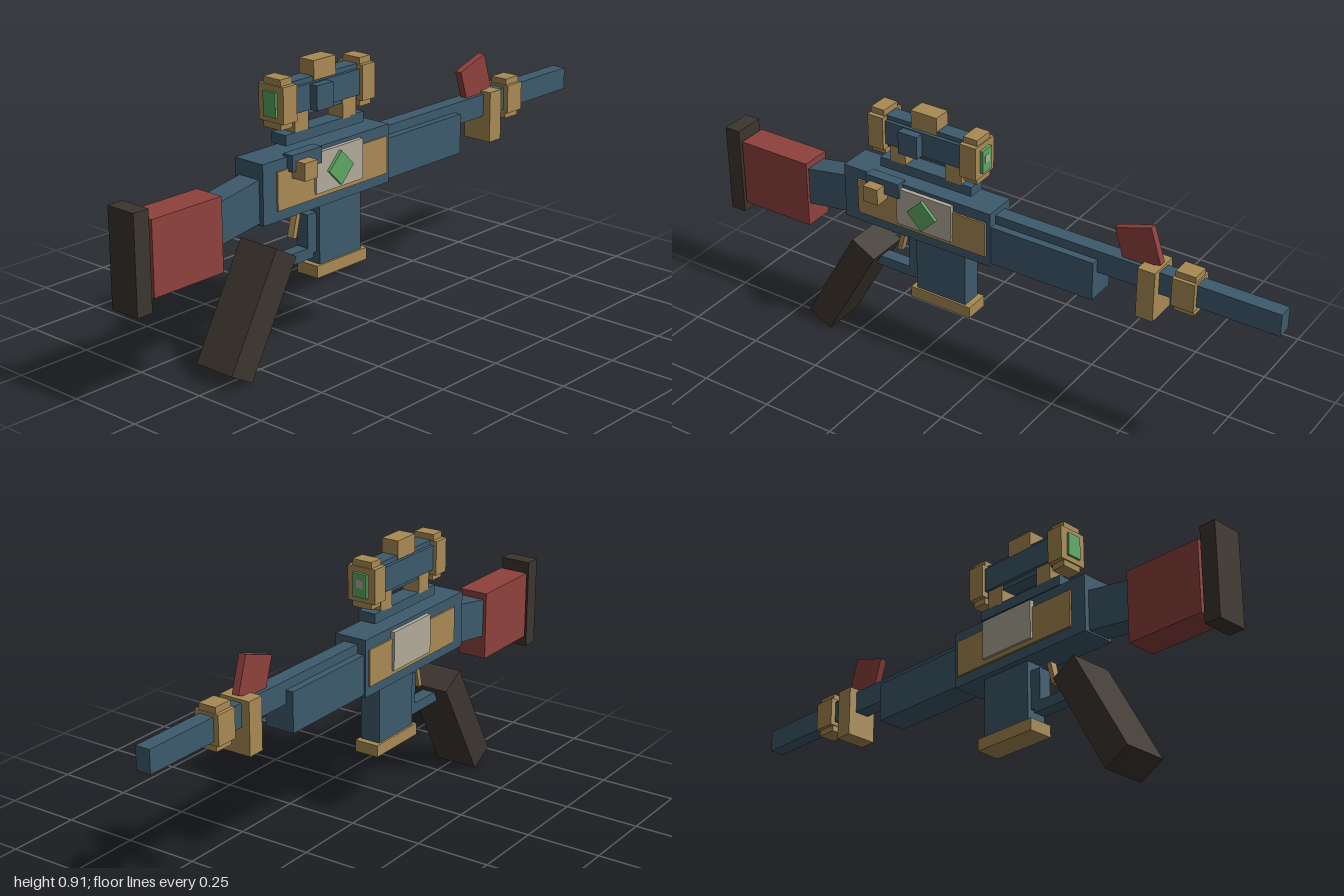
import * as THREE from 'three';

const mat = (name, color) => Object.assign(new THREE.MeshStandardMaterial({ color }), { name });

export function createModel() {
  const model = new THREE.Group();
  model.name = 'scopedRifle';
  const blue = mat('blueSteel', 0x3d5a6c);
  const brass = mat('brass', 0xa88a54);
  const red = mat('redPaint', 0x8e413d);
  const dark = mat('darkGrip', 0x3d352e);
  const green = mat('greenGlass', 0x5ca863);
  const grey = mat('paleMetal', 0xb2ab9b);
  const midZ = -0.02;

  // Box given by its limits on each axis
  function box(name, m, x0, x1, y0, y1, z0, z1) {
    const mesh = new THREE.Mesh(new THREE.BoxGeometry(x1 - x0, y1 - y0, z1 - z0), m);
    mesh.position.set((x0 + x1) / 2, (y0 + y1) / 2, (z0 + z1) / 2);
    mesh.name = name;
    model.add(mesh);
    return mesh;
  }
  // Box centred on the bore plane, with half depth d
  const mid = (name, m, x0, x1, y0, y1, d) => box(name, m, x0, x1, y0, y1, midZ - d, midZ + d);
  // Tilted box on the bore plane
  function tilted(name, m, x, y, w, h, d, degrees) {
    const mesh = mid(name, m, x - w / 2, x + w / 2, y - h / 2, y + h / 2, d);
    mesh.rotation.z = THREE.MathUtils.degToRad(degrees);
  }
  // Stepped collar: a wide block crossed by a tall one
  function collar(name, m, x0, x1, y0, y1, step, wide, narrow) {
    mid(name + 'Wide', m, x0, x1, y0 + step, y1 - step, wide);
    mid(name + 'Tall', m, x0 + 0.004, x1 - 0.004, y0, y1, narrow);
  }

  // Stock and neck
  mid('buttPad', dark, -1, -0.945, 0.33, 0.635, 0.052);
  mid('stock', red, -0.935, -0.67, 0.37, 0.6, 0.051);
  const neckShape = new THREE.Shape([
    [-0.68, 0.447], [-0.5, 0.474], [-0.5, 0.607], [-0.68, 0.576],
  ].map(([x, y]) => new THREE.Vector2(x, y)));
  const neck = new THREE.Mesh(
    new THREE.ExtrudeGeometry(neckShape, { depth: 0.08, bevelEnabled: false }), blue);
  neck.position.z = midZ - 0.04;
  neck.name = 'neck';
  model.add(neck);

  // Receiver, handguard and barrel
  mid('receiver', blue, -0.51, 0.04, 0.467, 0.655, 0.056);
  mid('handguard', blue, 0.04, 0.4, 0.475, 0.606, 0.05);
  mid('barrel', blue, 0.03, 1, 0.562, 0.636, 0.025);
  mid('barrelBand', brass, 0.55, 0.608, 0.477, 0.646, 0.053);
  collar('muzzleCollar', brass, 0.658, 0.732, 0.53, 0.665, 0.02, 0.042, 0.03);
  tilted('frontSight', red, 0.525, 0.69, 0.126, 0.12, 0.012, 18);

  // Side plates on both faces
  for (const s of [1, -1]) {
    const plate = (name, m, x0, x1, y0, y1, d) => box(name, m, x0, x1, y0, y1,
      midZ + (s > 0 ? 0.05 : -d), midZ + (s > 0 ? d : -0.05));
    plate('sidePlate', brass, -0.455, 0.025, 0.5, 0.62, 0.062);
    plate('emblemPlate', grey, -0.3, -0.095, 0.515, 0.643, 0.07);
  }
  const gem = box('diamond', green, -0.238, -0.162, 0.539, 0.615, 0.045, 0.06);
  gem.rotation.z = Math.PI / 4;

  // Bolt and its knob
  box('bolt', blue, -0.41, -0.285, 0.612, 0.663, 0.02, 0.058);
  box('boltKnob', brass, -0.395, -0.34, 0.588, 0.643, 0.04, 0.094);

  // Magazine, trigger and grip
  mid('magazine', blue, -0.252, -0.067, 0.265, 0.47, 0.035);
  mid('magazineBase', brass, -0.27, -0.046, 0.233, 0.272, 0.042);
  mid('guardFront', blue, -0.29, -0.25, 0.31, 0.437, 0.022);
  mid('guardBottom', blue, -0.42, -0.265, 0.295, 0.33, 0.022);
  tilted('trigger', brass, -0.327, 0.409, 0.016, 0.075, 0.012, -14);
  tilted('grip', dark, -0.532, 0.199, 0.096, 0.394, 0.074, -29.5);

  // Scope on its rail
  mid('scopeRail', blue, -0.386, -0.046, 0.676, 0.709, 0.03);
  mid('scopeMountRear', brass, -0.347, -0.29, 0.705, 0.77, 0.03);
  mid('scopeMountFront', brass, -0.14, -0.08, 0.705, 0.77, 0.03);
  collar('scopeTube', blue, -0.37, -0.065, 0.753, 0.863, 0.015, 0.038, 0.026);
  collar('scopeRingRear', brass, -0.415, -0.358, 0.73, 0.882, 0.02, 0.05, 0.035);
  collar('scopeRingFront', brass, -0.074, -0.016, 0.73, 0.882, 0.02, 0.05, 0.035);
  mid('topTurret', brass, -0.265, -0.17, 0.85, 0.91, 0.03);
  box('sideTurret', blue, -0.29, -0.22, 0.768, 0.845, 0, 0.046);
  mid('rearLens', green, -0.423, -0.41, 0.767, 0.843, 0.025);
  mid('frontLens', green, -0.02, -0.006, 0.767, 0.843, 0.025);
  mid('lensGlint', grey, -0.01, -0.0055, 0.797, 0.824, 0.012);

  return model;
}
